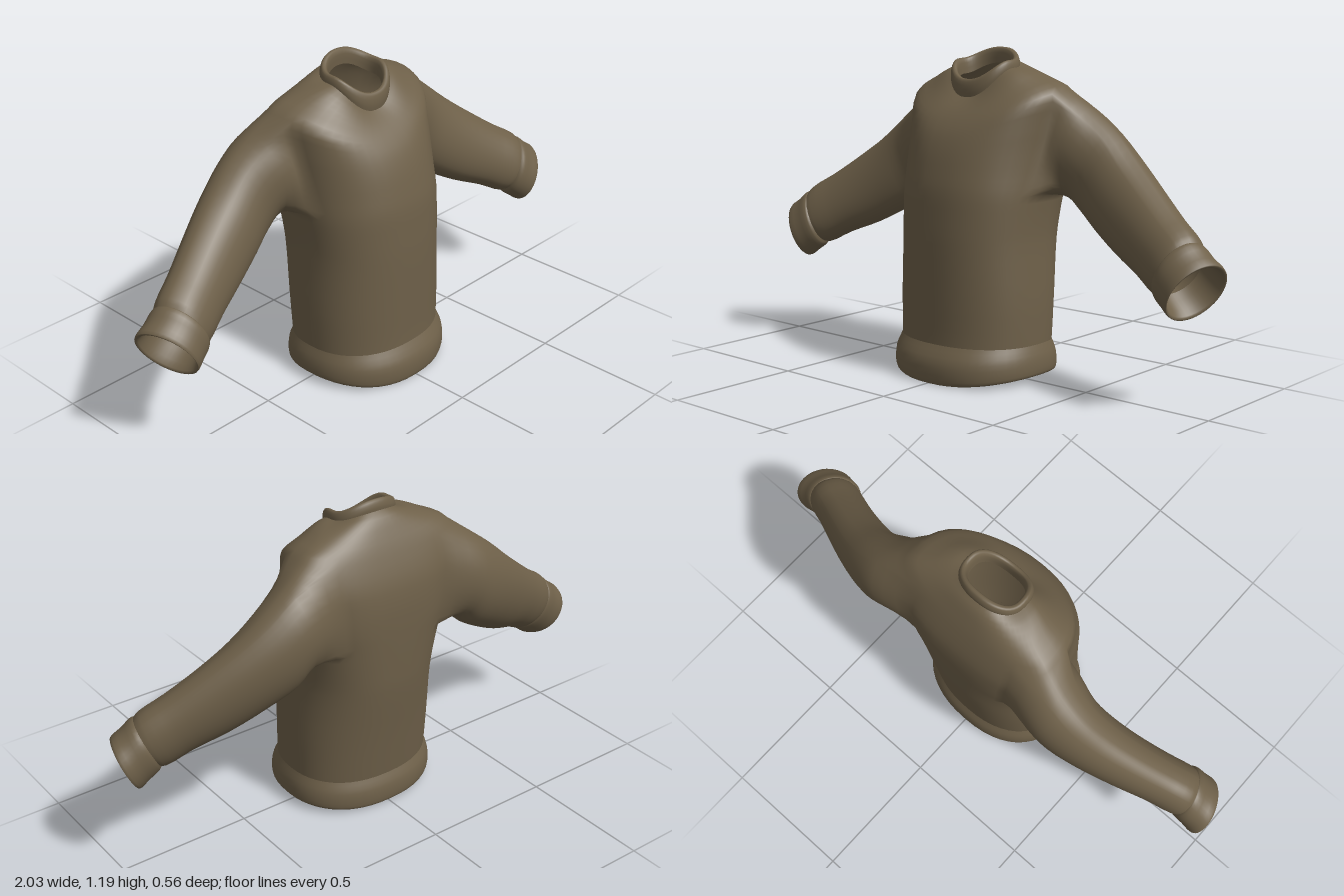
import * as THREE from 'three';
import { mergeGeometries, mergeVertices } from 'three/addons/utils/BufferGeometryUtils.js';

const COLS = 48, SUB = 3;
const material = new THREE.MeshStandardMaterial({ color: 0x6e6049, roughness: 0.9, side: THREE.DoubleSide });

// Body ring: half width, front z, back z, side z, front y, side y, back y, back squareness
function bodyRing([hx, zF, zB, zS, yF, yS, yB, nB = 2.3]) {
  return Array.from({ length: COLS }, (_, i) => {
    const a = (i / COLS) * Math.PI * 2, c = Math.cos(a), s = Math.sin(a);
    const e = 2 / (s < 0 ? nB : 2.3);
    const d = Math.pow(Math.abs(s), e);
    return new THREE.Vector3(
      hx * Math.sign(c) * Math.pow(Math.abs(c), e),
      yS + ((s > 0 ? yF : yB) - yS) * s * s,
      zS + ((s > 0 ? zF : zB) - zS) * d);
  });
}

// Sleeve ring point: top x, y, bottom x, y, centre z, depth radius, skew
function sleevePoint([tx, ty, bx, by, cz, rv, k], angle, side) {
  const u = Math.sin(angle), v = Math.cos(angle);
  return new THREE.Vector3(
    side * ((tx + bx) / 2 + ((tx - bx) / 2) * u - rv * k * v),
    (ty + by) / 2 + ((ty - by) / 2) * u,
    cz + rv * Math.sqrt(1 - k * k) * v);
}

// Smooths a stack of rings with one curve per column
function smooth(rings) {
  const n = (rings.length - 1) * SUB;
  const curves = rings[0].map((_, c) => new THREE.CatmullRomCurve3(rings.map(r => r[c])));
  return Array.from({ length: n + 1 }, (_, i) => curves.map(k => k.getPoint(i / n)));
}

// Skins rows of points that close around; skip leaves cells open
function skin(rows, skip = () => false) {
  const n = rows[0].length, index = [];
  for (let r = 0; r < rows.length - 1; r++) for (let c = 0; c < n; c++) {
    if (skip(r, c)) continue;
    const d = (c + 1) % n;
    const a = r * n + c, b = a + n, e = r * n + d, f = e + n;
    index.push(a, b, e, b, f, e);
  }
  const geo = new THREE.BufferGeometry().setFromPoints(rows.flat());
  geo.setIndex(index);
  return geo;
}

function finish(name, geo) {
  const g = mergeVertices(geo, 1e-4);
  g.computeVertexNormals();
  const mesh = new THREE.Mesh(g, material);
  mesh.name = name;
  return mesh;
}

const TORSO = [
  [0.283, 0.255, -0.212, 0, 0.07, 0.08, 0.07],
  [0.285, 0.25, -0.222, 0, 0.15, 0.15, 0.15],
  [0.285, 0.25, -0.24, 0, 0.3, 0.3, 0.3],
  [0.276, 0.25, -0.265, 0, 0.5, 0.5, 0.5, 2.4],
  [0.28, 0.246, -0.27, -0.01, 0.6, 0.6, 0.6, 2.6],
  [0.287, 0.24, -0.273, -0.03, 0.69, 0.675, 0.69, 2.8],
  [0.295, 0.226, -0.274, -0.07, 0.76, 0.76, 0.76, 3],
  [0.305, 0.207, -0.272, -0.1, 0.83, 0.85, 0.84, 3],
  [0.318, 0.182, -0.26, -0.12, 0.89, 0.95, 0.92, 3],
  [0.32, 0.152, -0.226, -0.12, 0.935, 1.04, 1.015, 2.6],
  [0.24, 0.12, -0.195, -0.1, 0.97, 1.085, 1.08, 2.4],
  [0.17, 0.085, -0.165, -0.06, 1.0, 1.112, 1.13],
  [0.12, 0.06, -0.135, -0.04, 1.02, 1.12, 1.155],
];
const HEM = [
  [0.27, 0.24, -0.2, 0, 0.08, 0.09, 0.08],
  [0.285, 0.26, -0.218, 0, 0.015, 0.04, 0.02],
  [0.296, 0.275, -0.23, 0, 0, 0.028, 0.006],
  [0.302, 0.282, -0.236, 0, 0.018, 0.04, 0.02],
  [0.3, 0.28, -0.235, 0, 0.08, 0.09, 0.075],
  [0.284, 0.25, -0.218, 0, 0.14, 0.14, 0.12],
];
const COLLAR = [
  [0.128, 0.066, -0.143, -0.04, 1.0, 1.1, 1.145],
  [0.13, 0.071, -0.143, -0.04, 1.04, 1.122, 1.165],
  [0.122, 0.064, -0.133, -0.04, 1.076, 1.146, 1.188],
  [0.107, 0.05, -0.118, -0.04, 1.076, 1.142, 1.182],
  [0.1, 0.045, -0.118, -0.04, 1.02, 1.09, 1.13],
];
const SLEEVE = [
  [0.4, 0.98, 0.325, 0.655, -0.15, 0.128, 0],
  [0.5, 0.905, 0.385, 0.605, -0.155, 0.117, 0.05],
  [0.6, 0.82, 0.48, 0.545, -0.13, 0.11, 0.25],
  [0.71, 0.735, 0.6, 0.48, -0.09, 0.102, 0.35],
  [0.82, 0.655, 0.72, 0.43, -0.045, 0.096, 0.38],
  [0.9, 0.603, 0.81, 0.385, -0.012, 0.096, 0.38],
  [0.925, 0.57, 0.84, 0.39, 0, 0.09, 0.38],
];
const CUFF = [
  [0.905, 0.575, 0.825, 0.39, -0.008, 0.09, 0.38],
  [0.92, 0.582, 0.83, 0.372, -0.002, 0.1, 0.38],
  [0.96, 0.55, 0.865, 0.345, 0.006, 0.104, 0.38],
  [1.0, 0.52, 0.9, 0.322, 0.012, 0.108, 0.38],
  [0.99, 0.51, 0.9, 0.335, 0.012, 0.099, 0.38],
  [0.91, 0.56, 0.835, 0.4, 0, 0.086, 0.38],
];

export function createModel() {
  const model = new THREE.Group();
  model.name = 'sweater';

  // Armhole limits on the torso grid: rows, and columns counted from the side seam
  const r0 = 5 * SUB, r1 = 9 * SUB, back = -7, front = 2;
  const wrap = c => (c + COLS) % COLS;
  const inHole = c => { const k = c > COLS / 2 ? c - COLS : c; return k >= back && k < front; };

  // Torso with open armholes
  const torso = smooth(TORSO.map(bodyRing));
  const parts = [skin(torso, (r, c) => r >= r0 && r < r1 && (inHole(c) || inHole(wrap(COLS / 2 - c - 1))))];

  for (const side of [1, -1]) {
    // Armhole edge: back along the shoulder, down, forward under the arm, up
    const at = (r, c) => torso[r][wrap(side > 0 ? c : COLS / 2 - c)];
    const loop = [];
    for (let c = front; c > back; c--) loop.push(at(r1, c));
    for (let r = r1; r > r0; r--) loop.push(at(r, back));
    for (let c = back; c < front; c++) loop.push(at(r0, c));
    for (let r = r0; r < r1; r++) loop.push(at(r, front));
    if (side < 0) loop.reverse();

    // Sleeve grows out of the armhole edge
    const mid = loop.reduce((s, p) => s.add(p), new THREE.Vector3()).divideScalar(loop.length);
    const angles = loop.map(p => Math.atan2((p.y - mid.y) / 0.18, (p.z - mid.z) / 0.15));
    parts.push(skin(smooth([loop, ...SLEEVE.map(s => angles.map(a => sleevePoint(s, a, side)))])));

    // Cuff
    const turn = Array.from({ length: 40 }, (_, i) => side * (i / 40) * Math.PI * 2);
    const cuff = CUFF.map(s => turn.map(a => sleevePoint(s, a, side)));
    model.add(finish(side > 0 ? 'leftCuff' : 'rightCuff', skin(smooth(cuff))));
  }

  model.add(finish('bodyAndSleeves', mergeGeometries(parts)));
  model.add(finish('hemBand', skin(smooth(HEM.map(bodyRing)))));
  model.add(finish('collar', skin(smooth(COLLAR.map(bodyRing)))));
  return model;
}
